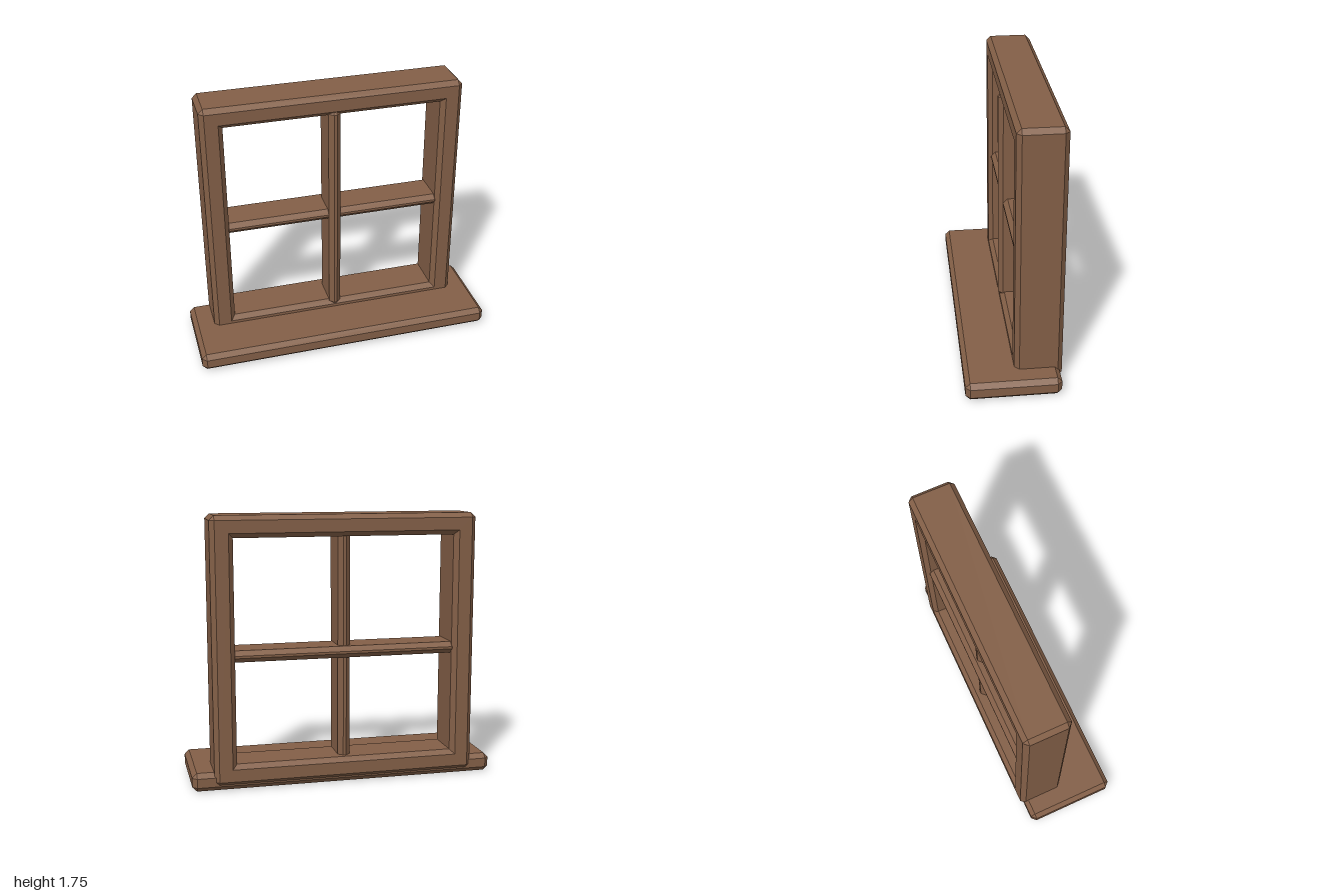
import * as THREE from 'three';
import { ConvexGeometry } from 'three/addons/geometries/ConvexGeometry.js';

const BEVEL = 0.03;

// Box with flat chamfers on every edge, given by its min and max corners
function chamferedBox(min, max) {
  const points = [];
  for (const x of [0, 1]) for (const y of [0, 1]) for (const z of [0, 1]) {
    const side = [x, y, z];
    for (let full = 0; full < 3; full++) {
      const p = side.map((s, i) => {
        const inset = i === full ? 0 : BEVEL;
        return s ? max[i] - inset : min[i] + inset;
      });
      points.push(new THREE.Vector3(...p));
    }
  }
  return new ConvexGeometry(points);
}

// Eight-point rectangle, counter-clockwise from the front; cut > 0 clips its corners
function rectLoop(hw, y0, y1, z, cut = 0) {
  return [
    [hw - cut, y0, z], [hw, y0 + cut, z], [hw, y1 - cut, z], [hw - cut, y1, z],
    [-hw + cut, y1, z], [-hw, y1 - cut, z], [-hw, y0 + cut, z], [-hw + cut, y0, z],
  ];
}

// Closed rectangular frame swept through loops: outside, back, opening, front
function frameGeometry(hw, y0, y1, holeHw, holeY0, holeY1, back, front) {
  const b = BEVEL;
  const loops = [
    rectLoop(hw - b, y0 + b, y1 - b, front),
    rectLoop(hw, y0, y1, front - b, b),
    rectLoop(hw, y0, y1, back + b, b),
    rectLoop(hw - b, y0 + b, y1 - b, back),
    rectLoop(holeHw + b, holeY0 - b, holeY1 + b, back),
    rectLoop(holeHw, holeY0, holeY1, back + b),
    rectLoop(holeHw, holeY0, holeY1, front - b),
    rectLoop(holeHw + b, holeY0 - b, holeY1 + b, front),
  ];
  const positions = [];
  const v = (p) => new THREE.Vector3(...p);
  const triangle = (p, q, r) => {
    const area = v(q).sub(v(p)).cross(v(r).sub(v(p))).length();
    if (area > 1e-8) positions.push(...p, ...q, ...r);
  };
  loops.forEach((a, i) => {
    const next = loops[(i + 1) % loops.length];
    for (let j = 0; j < 8; j++) {
      const k = (j + 1) % 8;
      triangle(a[j], next[j], next[k]);
      triangle(a[j], next[k], a[k]);
    }
  });
  const geometry = new THREE.BufferGeometry();
  geometry.setAttribute('position', new THREE.Float32BufferAttribute(positions, 3));
  geometry.computeVertexNormals();
  return geometry;
}

export function createModel() {
  const wood = new THREE.MeshStandardMaterial({ color: 0x835f47 });
  wood.name = 'brown wood';

  const model = new THREE.Group();
  model.name = 'window';
  const add = (name, geometry) => {
    const mesh = new THREE.Mesh(geometry, wood);
    mesh.name = name;
    model.add(mesh);
  };

  // Wide ledge under the frame
  add('sill', chamferedBox([-1, 0, -0.295], [1, 0.12, 0.31]));

  // Outer frame with bevelled opening
  add('frame', frameGeometry(0.86, 0.03, 1.745, 0.715, 0.17, 1.605, -0.315, -0.01));

  // Crossing glazing bars; the upright sits further forward
  add('verticalBar', chamferedBox([-0.04, 0.13, -0.255], [0.04, 1.645, 0]));
  add('horizontalBar', chamferedBox([-0.745, 0.825, -0.295], [0.745, 0.9, -0.03]));

  return model;
}
